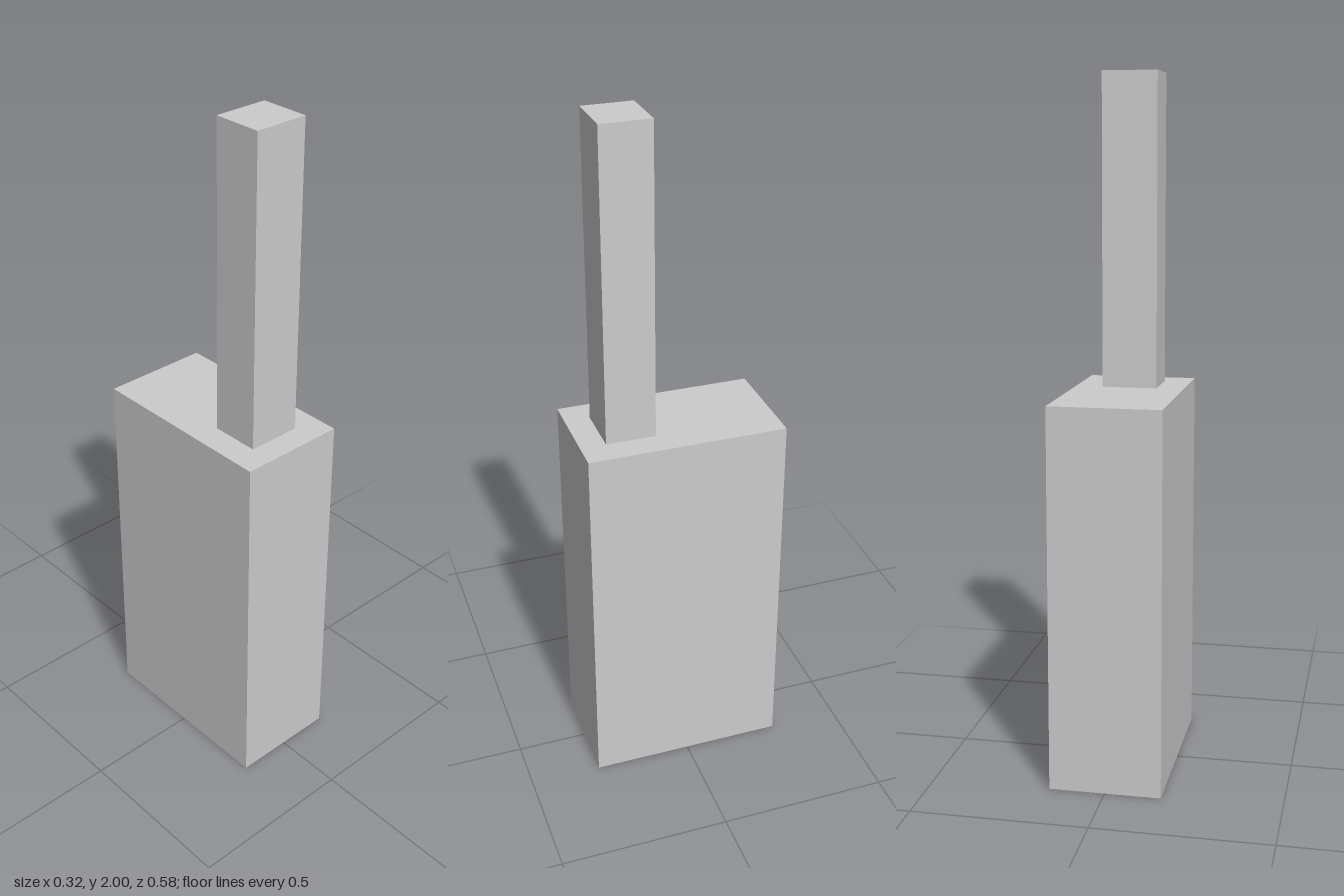
import * as THREE from 'three';

const material = new THREE.MeshStandardMaterial({ color: 0xcccccc, flatShading: true });

// Box standing on height y, centred on x = 0
function block(name, width, height, depth, y, z) {
  const mesh = new THREE.Mesh(new THREE.BoxGeometry(width, height, depth), material);
  mesh.name = name;
  mesh.position.set(0, y + height / 2, z);
  return mesh;
}

export function createModel() {
  const model = new THREE.Group();
  model.name = 'blockTower';
  const bodyHeight = 1.1;

  // Main body
  model.add(block('body', 0.32, bodyHeight, 0.58, 0, 0));

  // Square post rising near the front of the body
  model.add(block('post', 0.16, 2 - bodyHeight, 0.145, bodyHeight, 0.1435));

  return model;
}
